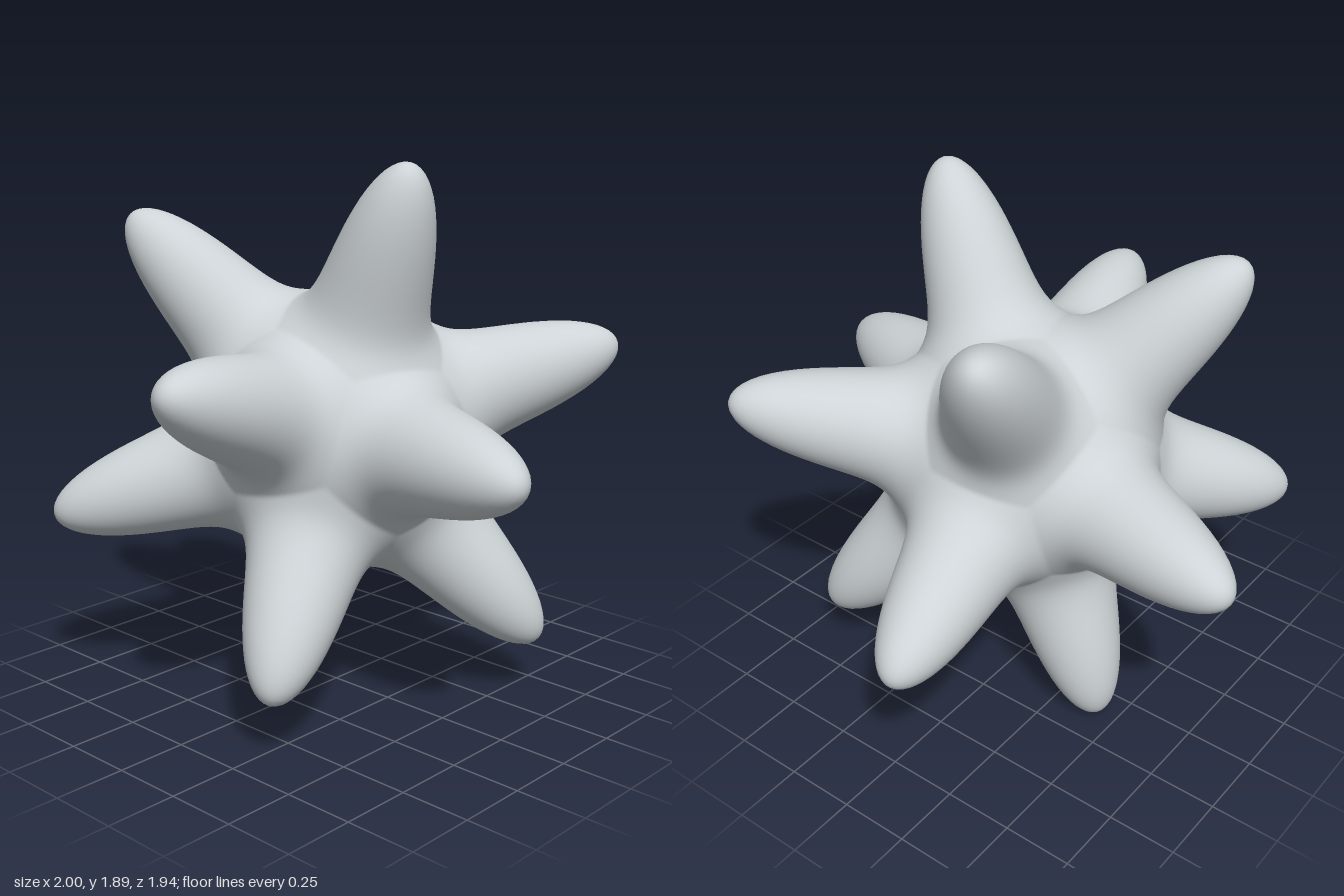
import * as THREE from 'three';
import { mergeVertices } from 'three/addons/utils/BufferGeometryUtils.js';

const deg = Math.PI / 180;

// Distance from the centre at an angle (degrees) from the nearest spike axis:
// a round core, a blunt spike and a slight flare at its root.
const radiusAt = (a) =>
  0.475 + 0.5 * Math.exp(-((a / 13.8) ** 2)) + 0.06 * Math.exp(-((a / 30) ** 2));

// The twelve spike axes are the corners of an icosahedron.
function spikeAxes() {
  const t = (1 + Math.sqrt(5)) / 2;
  const axes = [];
  for (const s of [-1, 1]) {
    for (const u of [-t, t]) {
      axes.push(new THREE.Vector3(s, u, 0), new THREE.Vector3(0, s, u), new THREE.Vector3(u, 0, s));
    }
  }
  return axes.map((v) => v.normalize());
}

// Fine sphere whose vertices are pushed out along the spikes
function spikedBall() {
  let geo = new THREE.IcosahedronGeometry(1, 48);
  geo.deleteAttribute('normal');
  geo.deleteAttribute('uv');
  geo = mergeVertices(geo, 1e-4);

  const axes = spikeAxes();
  const pos = geo.attributes.position;
  const v = new THREE.Vector3();
  for (let i = 0; i < pos.count; i++) {
    v.fromBufferAttribute(pos, i).normalize();
    const cos = Math.min(1, Math.max(...axes.map((a) => a.dot(v))));
    v.multiplyScalar(radiusAt(Math.acos(cos) / deg));
    pos.setXYZ(i, v.x, v.y, v.z);
  }

  // Tilt of the whole body
  const z = new THREE.Vector3(-0.262, 0.003, 0.965).normalize();
  const x = new THREE.Vector3(0.81, 0.55, 0.22).cross(z).normalize();
  const y = new THREE.Vector3().crossVectors(z, x);
  geo.applyMatrix4(new THREE.Matrix4().makeBasis(x, y, z));
  geo.computeVertexNormals();
  return geo;
}

export function createModel() {
  const group = new THREE.Group();
  group.name = 'spikedBall';

  const grey = new THREE.MeshStandardMaterial({ color: 0xcdd3d6 });
  grey.name = 'light grey';

  const body = new THREE.Mesh(spikedBall(), grey);
  body.name = 'spikedBody';

  // Stand the lowest spike on the ground
  body.geometry.computeBoundingBox();
  body.position.y = -body.geometry.boundingBox.min.y;
  group.add(body);
  return group;
}
